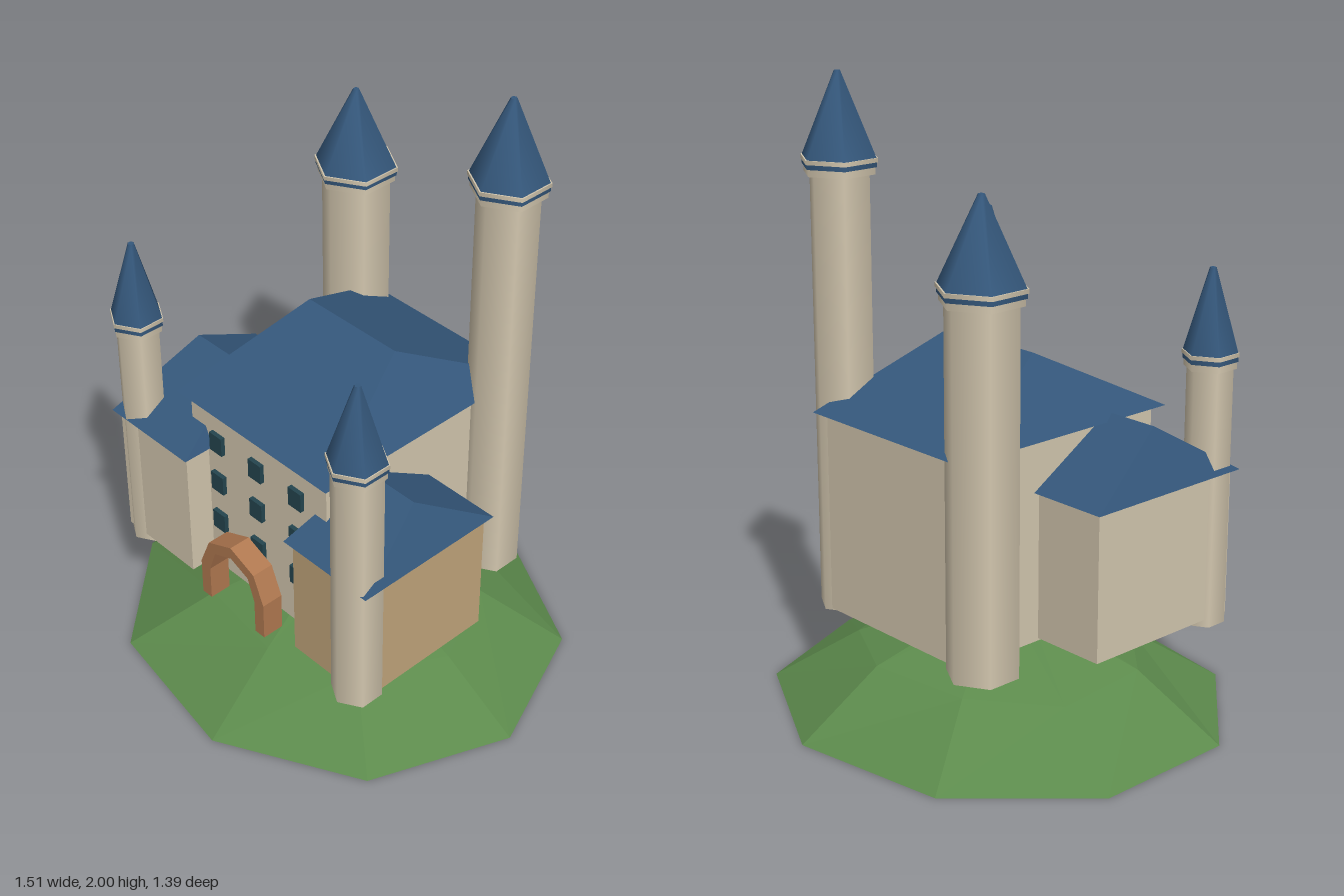
import * as THREE from 'three';

const mat = (color, flatShading = true) =>
  new THREE.MeshStandardMaterial({ color, flatShading });
const STONE = 0xd2c6ae, TAN = 0xc0a47a, ROOF = 0x35587c, GRASS = 0x5c8a4c, GLASS = 0x24454f, BRICK = 0xb07850;

function add(parent, name, geometry, material, x = 0, y = 0, z = 0) {
  const mesh = new THREE.Mesh(geometry, material);
  mesh.name = name;
  mesh.position.set(x, y, z);
  parent.add(mesh);
  return mesh;
}

// Flat-faced geometry from a list of polygons (each a counter-clockwise loop of points)
function facets(polygons) {
  const pos = [];
  for (const p of polygons)
    for (let i = 1; i < p.length - 1; i++) pos.push(...p[0], ...p[i], ...p[i + 1]);
  const g = new THREE.BufferGeometry();
  g.setAttribute('position', new THREE.Float32BufferAttribute(pos, 3));
  g.computeVertexNormals();
  return g;
}

// Hipped roof with a closed underside; the ridge runs along x
function hipRoof(x0, x1, z0, z1, eave, top, inset) {
  const a = [x0, eave, z0], b = [x0, eave, z1], c = [x1, eave, z1], d = [x1, eave, z0];
  const zm = (z0 + z1) / 2;
  const e = [x0 + inset, top, zm], f = [x1 - inset, top, zm];
  return facets([[b, c, f, e], [d, a, e, f], [a, b, e], [c, d, f], [a, d, c, b]]);
}

// Walls with a hipped roof that overhangs them
function building(name, color, [x0, x1, z0, z1], base, eave, top, inset, overhang) {
  const g = new THREE.Group();
  g.name = name;
  const o = overhang;
  add(g, name + 'Walls',
    new THREE.BoxGeometry(x1 - x0 - 2 * o, eave - base, z1 - z0 - 2 * o), mat(color),
    (x0 + x1) / 2, (base + eave) / 2, (z0 + z1) / 2);
  add(g, name + 'Roof', hipRoof(x0, x1, z0, z1, eave, top, inset), mat(ROOF));
  return g;
}

// Six-sided tower: shaft, collar, blue band, rim and pointed roof
function tower(name, x, z, r, capR, capY, top) {
  const g = new THREE.Group();
  g.name = name;
  g.position.set(x, 0, z);
  const drum = (part, rTop, rBottom, y0, y1, color) =>
    add(g, part, new THREE.CylinderGeometry(rTop, rBottom, y1 - y0, 6), mat(color, false), 0, (y0 + y1) / 2, 0);
  drum('shaft', r, r, 0.305, capY, STONE);
  drum('collar', capR * 0.93, capR * 0.93, capY, capY + 0.022, STONE);
  drum('band', capR * 0.97, capR * 0.97, capY + 0.022, capY + 0.037, ROOF);
  drum('rim', capR, capR, capY + 0.037, capY + 0.05, STONE);
  drum('spire', 0.01, capR * 0.96, capY + 0.05, top, ROOF);
  return g;
}

// Nine-sided hill: base ring, uneven middle ring, small flat top
function hill() {
  const middle = [[0.64, 0.16], [0.61, 0.18], [0.58, 0.17], [0.6, 0.18], [0.636, 0.19],
    [0.62, 0.16], [0.6, 0.18], [0.63, 0.2], [0.62, 0.18]];
  const ring = (fy) => middle.map((m, i) => {
    const [f, y] = fy(m), a = (i * 2 * Math.PI) / 9;
    return [0.776 * f * Math.cos(a) - 0.026, y, 0.706 * f * Math.sin(a)];
  });
  const base = ring(() => [1, 0]), mid = ring((m) => m), crown = ring(() => [0.13, 0.322]);
  const faces = [base, [...crown].reverse()];
  for (const [lo, hi] of [[base, mid], [mid, crown]])
    for (let i = 0; i < 9; i++) {
      const j = (i + 1) % 9;
      faces.push([lo[i], hi[i], lo[j]], [hi[i], hi[j], lo[j]]);
    }
  return facets(faces);
}

// Half outline of the arch from the ground up to the crown, mirrored in x
function archGeometry() {
  const outer = [[0.148, 0.318], [0.148, 0.45], [0.106, 0.55], [0, 0.595]];
  const inner = [[0.106, 0.318], [0.106, 0.44], [0.078, 0.52], [0, 0.552]];
  const span = (h) => [...h, ...h.slice(0, 3).reverse().map(([x, y]) => [-x, y])];
  const points = [...span(outer), ...span(inner).reverse()].map(([x, y]) => new THREE.Vector2(x, y));
  return new THREE.ExtrudeGeometry(new THREE.Shape(points), { depth: 0.075, bevelEnabled: false });
}

export function createModel() {
  const castle = new THREE.Group();
  castle.name = 'castle';
  add(castle, 'hill', hill(), mat(GRASS));

  // Main hall and its two wings
  castle.add(
    building('hall', STONE, [-0.365, 0.313, -0.465, 0.385], 0.322, 0.97, 1.19, 0.15, 0.031),
    building('rightWing', STONE, [-0.605, -0.24, -0.145, 0.465], 0.33, 0.803, 0.99, 0.08, 0.02),
    building('leftWing', TAN, [0.203, 0.557, -0.08, 0.457], 0.323, 0.758, 0.926, 0.077, 0.02));

  // Corner towers
  castle.add(
    tower('tallBackTower', 0.322, -0.333, 0.097, 0.125, 1.695, 2.0),
    tower('wideBackTower', -0.365, -0.381, 0.113, 0.138, 1.432, 1.74),
    tower('rightFrontTower', -0.535, 0.392, 0.072, 0.088, 1.13, 1.438),
    tower('leftFrontTower', 0.473, 0.411, 0.081, 0.095, 1.16, 1.466));

  // Three rows of windows on the front of the hall
  const pane = new THREE.BoxGeometry(0.056, 0.068, 0.03);
  for (const x of [-0.208, -0.026, 0.156])
    for (const y of [0.525, 0.683, 0.84])
      add(castle, 'window', pane, mat(GLASS), x, y, 0.354);

  // Gate arch standing before the hall
  add(castle, 'gateArch', archGeometry(), mat(BRICK), -0.024, 0, 0.402);
  return castle;
}
